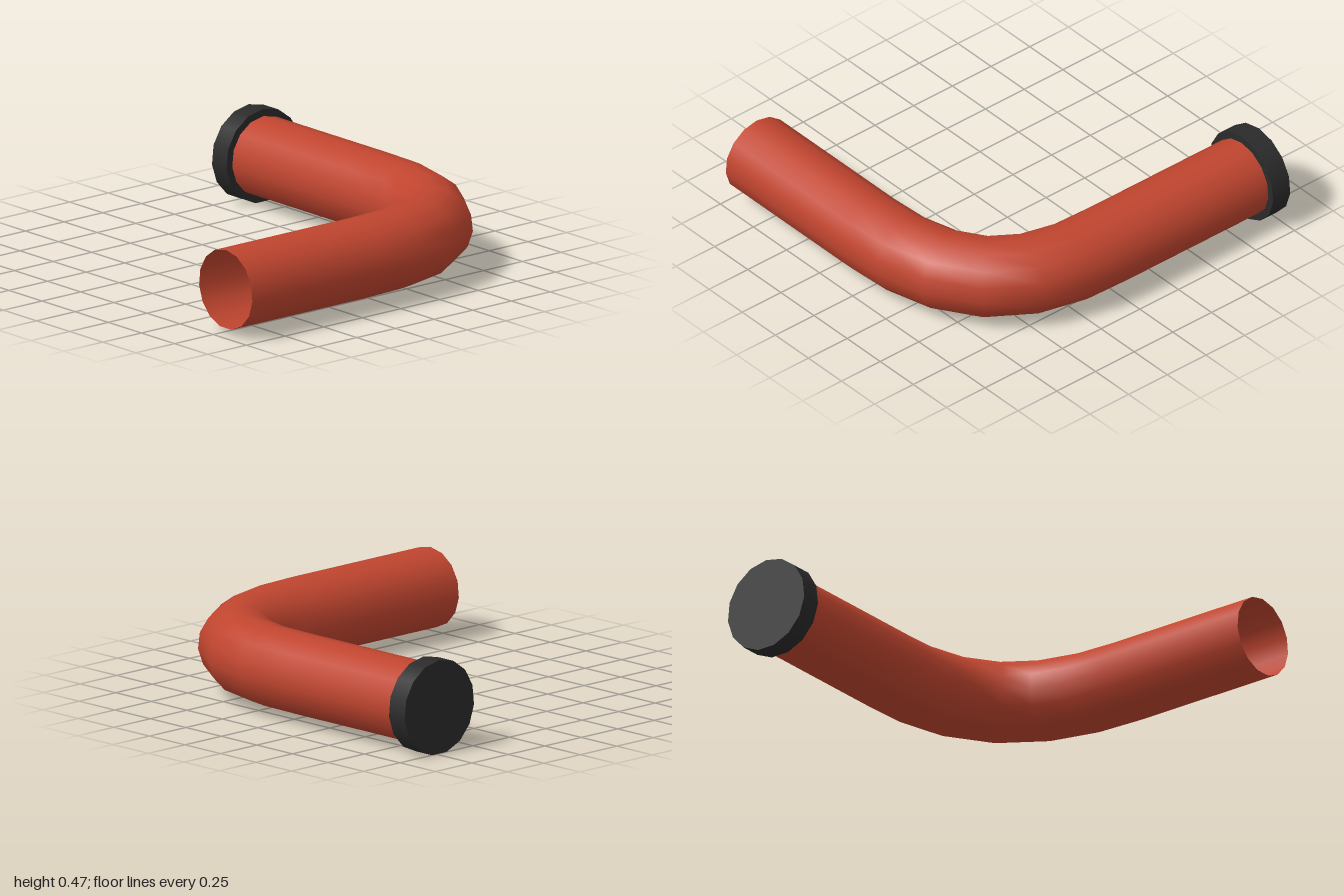
import * as THREE from 'three';

const SIDES = 15, RADIUS = 0.202, AXIS_Y = 0.234;

// Cross-sections along the pipe: centre x, centre z, turn in degrees
const RINGS = [
  [-0.95, -0.73, 0], [-0.5, -0.73, 0], [-0.05, -0.73, 0],
  [0.195, -0.722, 4], [0.42, -0.665, 21], [0.605, -0.54, 45],
  [0.725, -0.355, 69], [0.785, -0.13, 84], [0.798, 0.1, 90],
  [0.798, 0.5, 90], [0.798, 0.96, 90],
];

function bentPipe() {
  const pos = [], nor = [], index = [];
  for (const [x, z, turn] of RINGS) {
    const a = THREE.MathUtils.degToRad(turn);
    for (let j = 0; j <= SIDES; j++) {
      const t = (j / SIDES) * Math.PI * 2;
      // outward side of the bend runs from -z round to +x
      const n = [Math.sin(t) * Math.sin(a), Math.cos(t), -Math.sin(t) * Math.cos(a)];
      pos.push(x + n[0] * RADIUS, AXIS_Y + n[1] * RADIUS, z + n[2] * RADIUS);
      nor.push(...n);
    }
  }
  const w = SIDES + 1;
  for (let i = 0; i < RINGS.length - 1; i++) {
    for (let j = 0; j < SIDES; j++) {
      const p = i * w + j, q = p + w;
      index.push(p, p + 1, q, p + 1, q + 1, q);
    }
  }
  const g = new THREE.BufferGeometry();
  g.setAttribute('position', new THREE.Float32BufferAttribute(pos, 3));
  g.setAttribute('normal', new THREE.Float32BufferAttribute(nor, 3));
  g.setIndex(index);
  return g;
}

export function createModel() {
  const group = new THREE.Group();
  group.name = 'bentPipe';

  const red = new THREE.MeshStandardMaterial({ color: 0xc0452f, side: THREE.DoubleSide });
  red.name = 'red';
  const black = new THREE.MeshStandardMaterial({ color: 0x2a2a2a });
  black.name = 'black';

  // Open pipe with a quarter bend
  const pipe = new THREE.Mesh(bentPipe(), red);
  pipe.name = 'pipe';
  group.add(pipe);

  // Closed collar at the far end, one corner pointing up
  const cap = new THREE.Mesh(
    new THREE.CylinderGeometry(0.239, 0.239, 0.11, SIDES, 1, false, Math.PI / 2), black);
  cap.name = 'endCap';
  cap.rotation.z = Math.PI / 2;
  cap.position.set(-0.945, AXIS_Y, -0.73);
  group.add(cap);

  return group;
}
